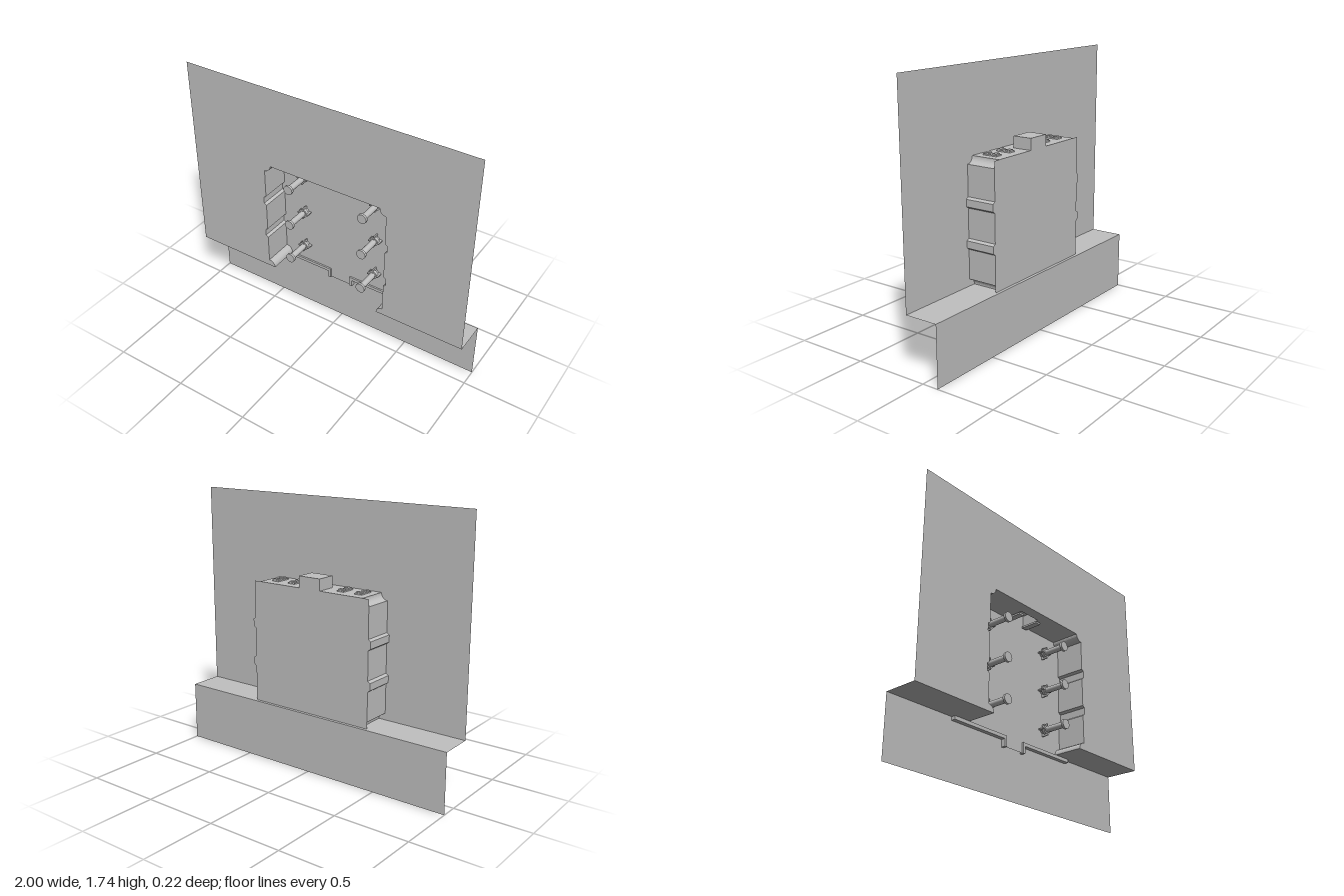
import * as THREE from 'three';

const FRONT = 0.11, REAR = -0.09, FLOOR = 0.39, TOP = 1.195, HALF = 0.44;

export function createModel() {
  const model = new THREE.Group();
  const metal = new THREE.MeshStandardMaterial({ color: 0xc0c0c0, side: THREE.DoubleSide });
  metal.name = 'grey sheet metal';

  const add = (name, geometry, x = 0, y = 0, z = 0, parent = model) => {
    const mesh = new THREE.Mesh(geometry, metal);
    mesh.name = name;
    mesh.position.set(x, y, z);
    parent.add(mesh);
    return mesh;
  };
  const box = (name, w, h, d, x, y, z, parent) =>
    add(name, new THREE.BoxGeometry(w, h, d), x, y, z, parent);
  const sheet = (pts, holes = []) => {
    const shape = new THREE.Shape(pts.map(p => new THREE.Vector2(...p)));
    for (const h of holes) shape.holes.push(new THREE.Path(h.map(p => new THREE.Vector2(...p))));
    return new THREE.ShapeGeometry(shape);
  };
  const rect = (x0, y0, x1, y1) => [[x0, y0], [x1, y0], [x1, y1], [x0, y1]];

  // Side of the recess: scalloped corners and two ridges, from bottom to top
  const scallop = (cy, from, to) => Array.from({ length: 9 }, (_, i) => {
    const a = from + (to - from) * i / 8;
    return [HALF + 0.045 * Math.cos(a), cy + 0.045 * Math.sin(a)];
  });
  const ridge = y => [[HALF, y - 0.035], [HALF + 0.017, y - 0.023], [HALF + 0.017, y + 0.023], [HALF, y + 0.035]];
  const PI = Math.PI;
  const side = [
    [HALF - 0.045, FLOOR],
    ...scallop(FLOOR, PI, PI / 2).slice(1),
    ...ridge(0.66), ...ridge(0.918),
    ...scallop(TOP, -PI / 2, -PI),
  ];
  const mirrored = side.map(([x, y]) => [-x, y]);

  // Front panel with the recess opening reaching its lower edge
  add('frontPanel', sheet([
    [-1, FLOOR], ...mirrored, ...side.slice().reverse(), [1, FLOOR], [1, 1.74], [-1, 1.74],
  ]), 0, 0, FRONT);

  // Recess side walls
  const wall = pts => {
    const v = [];
    for (let i = 0; i < pts.length - 1; i++) {
      const [ax, ay] = pts[i], [bx, by] = pts[i + 1];
      v.push(ax, ay, FRONT, ax, ay, REAR, bx, by, REAR, ax, ay, FRONT, bx, by, REAR, bx, by, FRONT);
    }
    const g = new THREE.BufferGeometry();
    g.setAttribute('position', new THREE.Float32BufferAttribute(v, 3));
    g.computeVertexNormals();
    return g;
  };
  add('leftWall', wall(side));
  add('rightWall', wall(mirrored.slice().reverse()));

  // Recess roof, open below the latch housing
  const w = HALF - 0.045;
  add('roof', sheet([
    [-w, -FRONT], [w, -FRONT], [w, -REAR], [0.08, -REAR], [0.08, -0.04],
    [-0.08, -0.04], [-0.08, -REAR], [-w, -REAR],
  ]).rotateX(-PI / 2), 0, TOP, 0).scale.z = 1;

  // Back wall with the raised latch housing and lower tongue
  add('backWall', sheet([
    [-HALF, FLOOR], [-0.08, FLOOR], [-0.08, 0.32], [0.08, 0.32], [0.08, FLOOR], [HALF, FLOOR],
    [HALF, 0.625], [HALF + 0.017, 0.637], [HALF + 0.017, 0.683], [HALF, 0.695],
    [HALF, 0.883], [HALF + 0.017, 0.895], [HALF + 0.017, 0.941], [HALF, 0.953],
    [HALF, TOP], [0.08, TOP], [0.08, 1.27], [-0.08, 1.27], [-0.08, TOP], [-HALF, TOP],
    [-HALF, 0.953], [-HALF - 0.017, 0.941], [-HALF - 0.017, 0.895], [-HALF, 0.883],
    [-HALF, 0.695], [-HALF - 0.017, 0.683], [-HALF - 0.017, 0.637], [-HALF, 0.625],
  ]), 0, 0, REAR);

  // Latch housing: top, front and two cheeks
  const latch = new THREE.Group();
  latch.name = 'latchHousing';
  model.add(latch);
  add('latchTop', new THREE.PlaneGeometry(0.16, 0.13).rotateX(-PI / 2), 0, 1.27, -0.025, latch);
  add('latchFront', new THREE.PlaneGeometry(0.16, 0.075), 0, 1.2325, 0.04, latch);
  for (const s of [-1, 1]) {
    add('latchCheek', new THREE.PlaneGeometry(0.13, 0.075).rotateY(s * PI / 2), s * 0.08, 1.2325, -0.025, latch);
    box('latchHook', 0.04, 0.012, 0.12, s * 0.08, 1.178, -0.02, latch);
  }

  // Shelf, cut out under the recess, and lower panel behind
  add('shelf', sheet([
    [-1, -FRONT], [-w, -FRONT], [-w, -REAR], [w, -REAR], [w, -FRONT], [1, -FRONT],
    [1, FRONT], [-1, FRONT],
  ]).rotateX(-PI / 2), 0, FLOOR, 0);
  add('lowerPanel', sheet(rect(-1, 0, 1, FLOOR)), 0, 0, -FRONT);

  for (const s of [-1, 1]) {
    // Angled retaining bars under the recess
    box('retainingBar', 0.43, 0.022, 0.03, s * 0.3, 0.378, -0.095);
    box('retainingLeg', 0.018, 0.07, 0.03, s * 0.084, 0.354, -0.095);

    // Clips on the roof
    for (const x of [0.19, 0.32]) {
      box('roofClip', 0.05, 0.008, 0.1, s * x, TOP + 0.004, 0.02);
      for (const z of [-0.01, 0.05]) box('clipNub', 0.036, 0.008, 0.03, s * x, TOP + 0.012, z);
    }

    // Studs with round heads and finned collars
    for (const y of [0.52, 0.79, 1.06]) {
      const stud = new THREE.Group();
      stud.name = 'stud';
      stud.position.set(s * 0.27, y, 0);
      model.add(stud);
      const rod = (name, r, z0, z1) =>
        add(name, new THREE.CylinderGeometry(r, r, z1 - z0, 24).rotateX(PI / 2), 0, 0, (z0 + z1) / 2, stud);
      rod('studStem', 0.02, REAR, 0.09);
      rod('studHead', 0.032, 0.088, 0.104);
      rod('studCollar', 0.03, -0.07, -0.05);
      box('studFin', 0.08, 0.008, 0.045, 0, 0, -0.067, stud);
      box('studFin', 0.008, 0.08, 0.045, 0, 0, -0.067, stud);
    }
  }
  return model;
}
